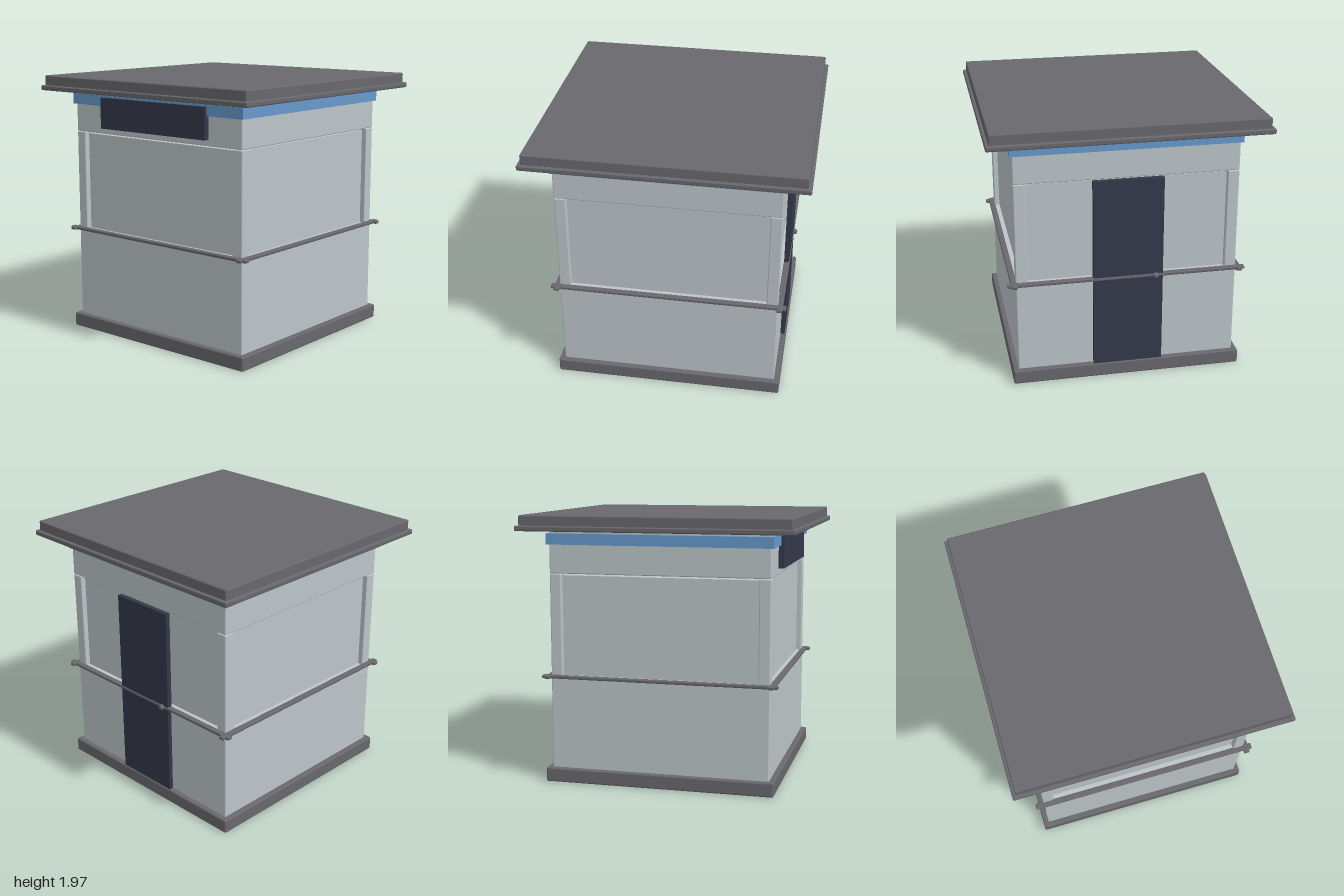
import * as THREE from 'three';
import { RoundedBoxGeometry } from 'three/addons/geometries/RoundedBoxGeometry.js';

const material = (name, color) => {
  const m = new THREE.MeshStandardMaterial({ color });
  m.name = name;
  return m;
};

export function createModel() {
  const model = new THREE.Group();
  model.name = 'kiosk';
  const wall = material('pale grey', 0xbcc5c8);
  const trim = material('dark grey', 0x68686d);
  const blue = material('sky blue', 0x6699cc);
  const navy = material('navy', 0x343849);

  // Box given by its x, y and z ranges, with a small softened edge if bevel > 0
  function box(name, mat, [x0, x1], [y0, y1], [z0, z1], bevel = 0) {
    const size = [x1 - x0, y1 - y0, z1 - z0];
    const geometry = bevel
      ? new RoundedBoxGeometry(...size, 2, bevel)
      : new THREE.BoxGeometry(...size);
    const mesh = new THREE.Mesh(geometry, mat);
    mesh.name = name;
    mesh.position.set((x0 + x1) / 2, (y0 + y1) / 2, (z0 + z1) / 2);
    model.add(mesh);
    return mesh;
  }
  // Square slab centred on the vertical axis
  const slab = (name, mat, half, y, bevel) =>
    box(name, mat, [-half, half], y, [-half, half], bevel);

  // Body from the ground up
  slab('base', trim, 0.85, [0, 0.105], 0.012);
  slab('lowerWalls', wall, 0.81, [0.09, 0.795], 0.008);
  slab('upperPanels', wall, 0.77, [0.79, 1.53]);
  slab('fascia', wall, 0.81, [1.545, 1.87], 0.008);
  slab('blueBand', blue, 0.828, [1.755, 1.835]);
  slab('roofEdge', trim, 1, [1.858, 1.896], 0.01);
  slab('roofCap', trim, 0.976, [1.885, 1.97], 0.01);

  // Corner posts
  for (const sx of [-1, 1]) {
    for (const sz of [-1, 1]) {
      const post = box('cornerPost', wall, [-0.042, 0.042], [0.78, 1.543], [-0.042, 0.042], 0.008);
      post.position.x = sx * 0.768;
      post.position.z = sz * 0.768;
    }
  }

  // Rails round the middle, crossing past each other at the corners
  for (const s of [-1, 1]) {
    const across = box('rail', trim, [-0.872, 0.872], [0.778, 0.802], [-0.022, 0.022], 0.008);
    across.position.z = s * 0.825;
    const along = box('rail', trim, [-0.022, 0.022], [0.778, 0.802], [-0.872, 0.872], 0.008);
    along.position.x = s * 0.825;
  }

  // Sign board on the front, door and knob on the back
  box('signBoard', navy, [-0.51, 0.51], [1.59, 1.82], [0.805, 0.85]);
  box('door', navy, [-0.255, 0.255], [0.1, 1.54], [-0.842, -0.805]);
  const knob = new THREE.Mesh(new THREE.SphereGeometry(0.022, 12, 8), trim);
  knob.name = 'doorKnob';
  knob.position.set(-0.2, 0.79, -0.85);
  model.add(knob);

  return model;
}
